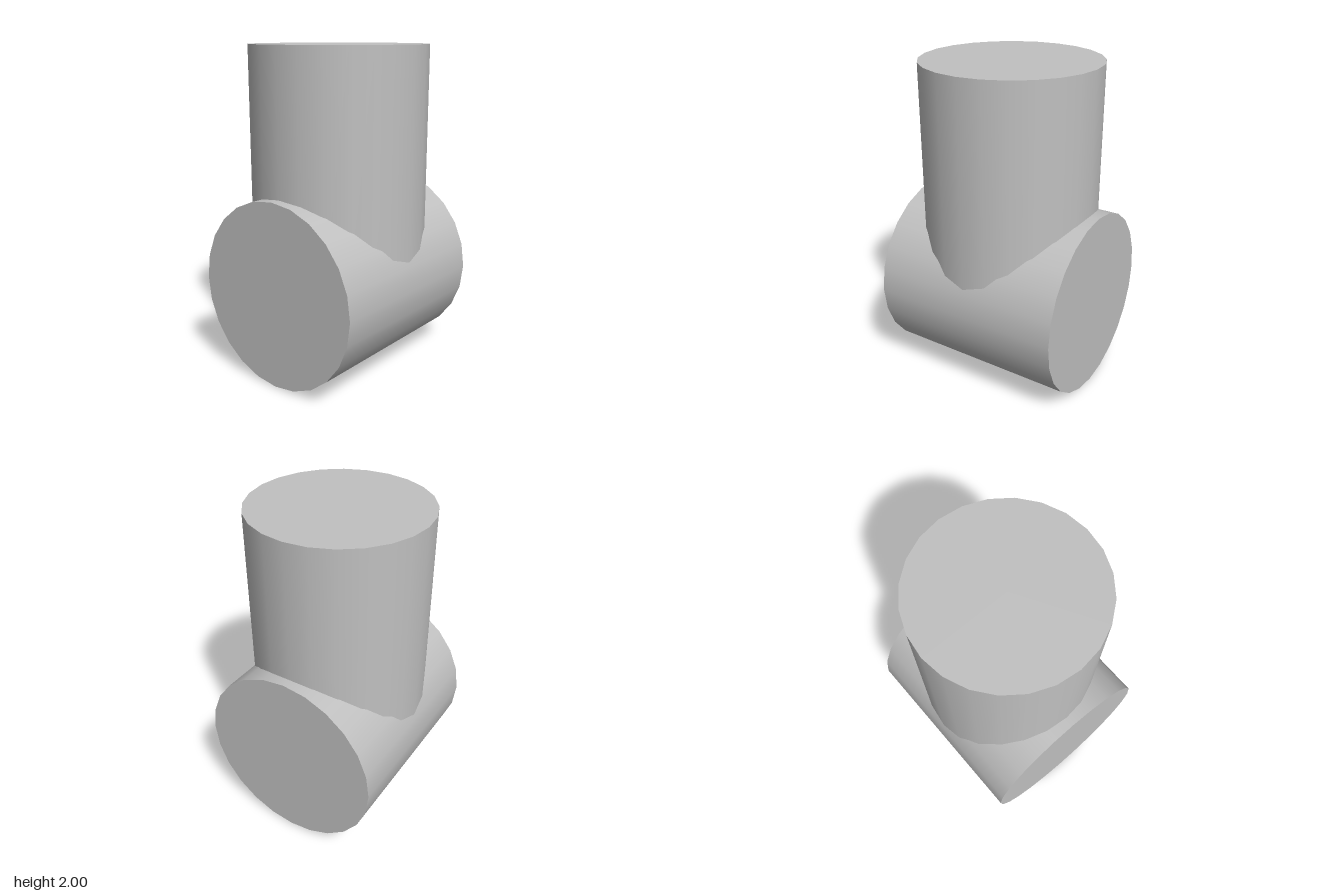
import * as THREE from 'three';

export function createModel() {
  const group = new THREE.Group();
  const grey = new THREE.MeshStandardMaterial({ color: 0xc0c0c0 });
  grey.name = 'light grey';

  const SIDES = 24;
  const baseRadius = 0.57, baseLength = 1.2;
  const postRadius = 0.54, top = 2;

  // Lying cylinder, running front to back
  const base = new THREE.Mesh(
    new THREE.CylinderGeometry(baseRadius, baseRadius, baseLength, SIDES).rotateX(Math.PI / 2), grey);
  base.name = 'horizontalCylinder';
  base.position.y = baseRadius;
  group.add(base);

  // Upright cylinder, sunk to the axis of the lying one
  const height = top - baseRadius;
  const post = new THREE.Mesh(
    new THREE.CylinderGeometry(postRadius, postRadius, height, SIDES), grey);
  post.name = 'verticalCylinder';
  post.position.y = baseRadius + height / 2;
  group.add(post);

  return group;
}
